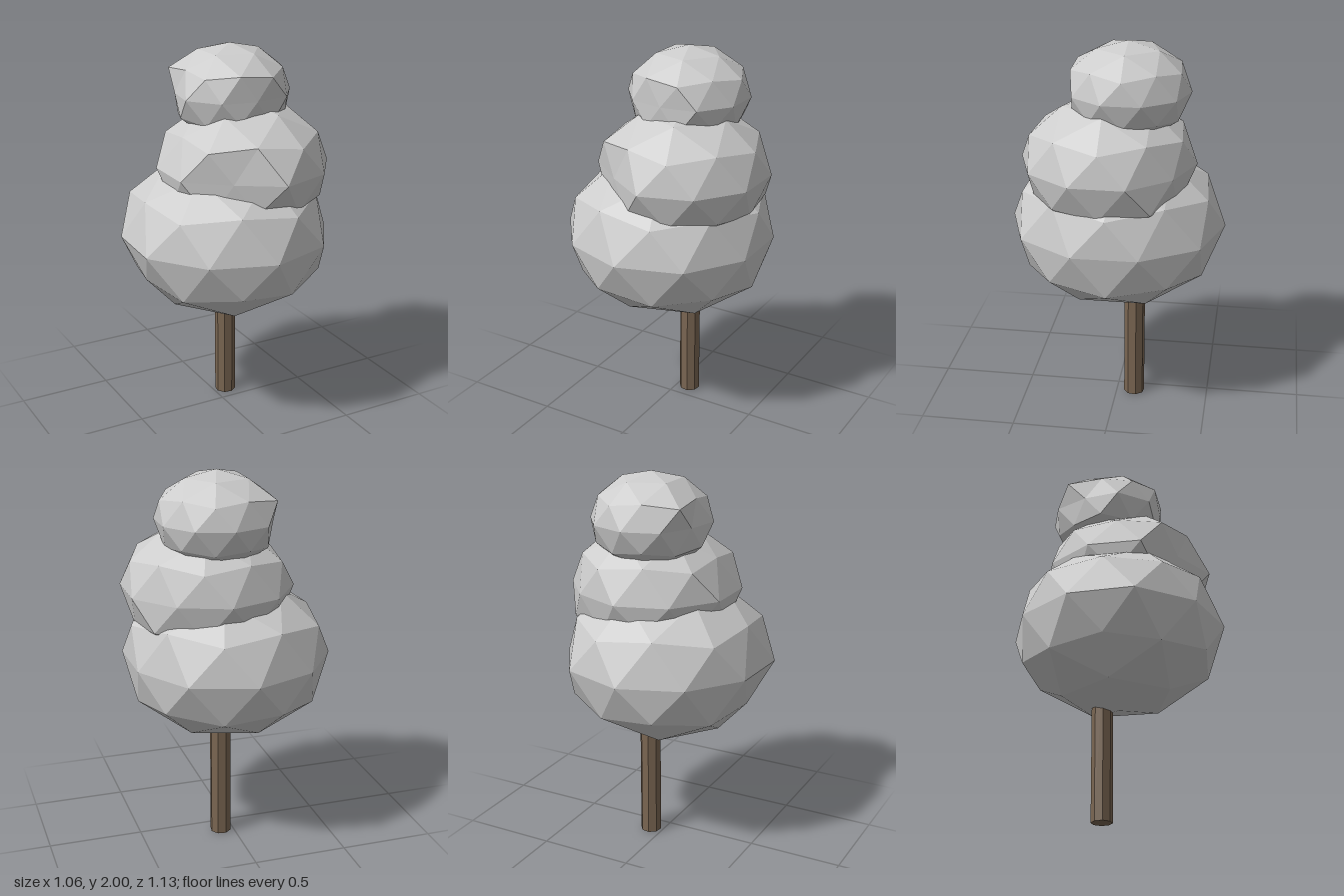
import * as THREE from 'three';

const foliageGrey = new THREE.MeshStandardMaterial({ color: 0xcccccc, flatShading: true });
foliageGrey.name = 'foliageGrey';
const barkBrown = new THREE.MeshStandardMaterial({ color: 0x7a6652, flatShading: true });
barkBrown.name = 'barkBrown';

// Unit heights of the vertex rings of the faceted ball
const EQUATOR = 0, MAIN = 0.447, MID = 0.526, CROWN = 0.851;

// Faceted, squashed ball with a vertex at its pole.
// Each bump is [azimuth in degrees from +x towards +z, unit height, radial factor].
function foliageBall(name, center, radius, height, bumps) {
  const geo = new THREE.IcosahedronGeometry(1, 1);
  geo.rotateZ(Math.atan(2 / (1 + Math.sqrt(5))));
  geo.rotateY(Math.PI);
  const pos = geo.attributes.position;
  const v = new THREE.Vector3();
  const targets = bumps.map(([deg, y, factor]) => {
    const a = THREE.MathUtils.degToRad(deg);
    const r = Math.sqrt(1 - y * y);
    return { dir: new THREE.Vector3(r * Math.cos(a), y, r * Math.sin(a)), factor };
  });
  for (let i = 0; i < pos.count; i++) {
    v.fromBufferAttribute(pos, i);
    const hit = targets.find((t) => t.dir.distanceTo(v) < 0.1);
    const k = hit ? hit.factor : 1;
    pos.setXYZ(i, v.x * radius * k, v.y * height, v.z * radius * k);
  }
  geo.computeVertexNormals();
  const mesh = new THREE.Mesh(geo, foliageGrey);
  mesh.name = name;
  mesh.position.set(...center);
  return mesh;
}

export function createModel() {
  const tree = new THREE.Group();
  tree.name = 'tree';

  // Trunk, running up into the lowest foliage ball
  const trunk = new THREE.Mesh(new THREE.CylinderGeometry(0.056, 0.056, 0.85, 8), barkBrown);
  trunk.name = 'trunk';
  trunk.position.set(0.069, 0.425, -0.096);
  trunk.rotation.y = 0.25;
  tree.add(trunk);

  // Three stacked foliage balls
  tree.add(foliageBall('lowerFoliage', [0.01, 1.01, 0], 0.567, 0.435, [
    [18, EQUATOR, 0.97],
    [342, EQUATOR, 0.96],
    [126, EQUATOR, 0.99],
    [198, EQUATOR, 0.97],
    [234, EQUATOR, 0.97],
    [180, -MAIN, 0.91],
    [180, MID, 0.95],
  ]));
  tree.add(foliageBall('middleFoliage', [0.1, 1.38, 0.037], 0.455, 0.35, [
    [126, EQUATOR, 0.84],
    [306, EQUATOR, 0.96],
    [108, MID, 0.95],
    [108, -MAIN, 0.95],
    [180, MID, 0.9],
    [144, CROWN, 0.92],
    [216, CROWN, 0.92],
    [324, -MAIN, 1.06],
  ]));
  tree.add(foliageBall('upperFoliage', [0.075, 1.75, -0.06], 0.32, 0.25, [
    [90, EQUATOR, 0.9],
    [126, EQUATOR, 0.97],
    [198, EQUATOR, 0.9],
    [0, MAIN, 1.04],
    [72, MAIN, 1.03],
    [108, MID, 1.05],
    [180, MID, 0.93],
    [216, MAIN, 1.12],
    [72, -MID, 1.06],
  ]));

  return tree;
}
